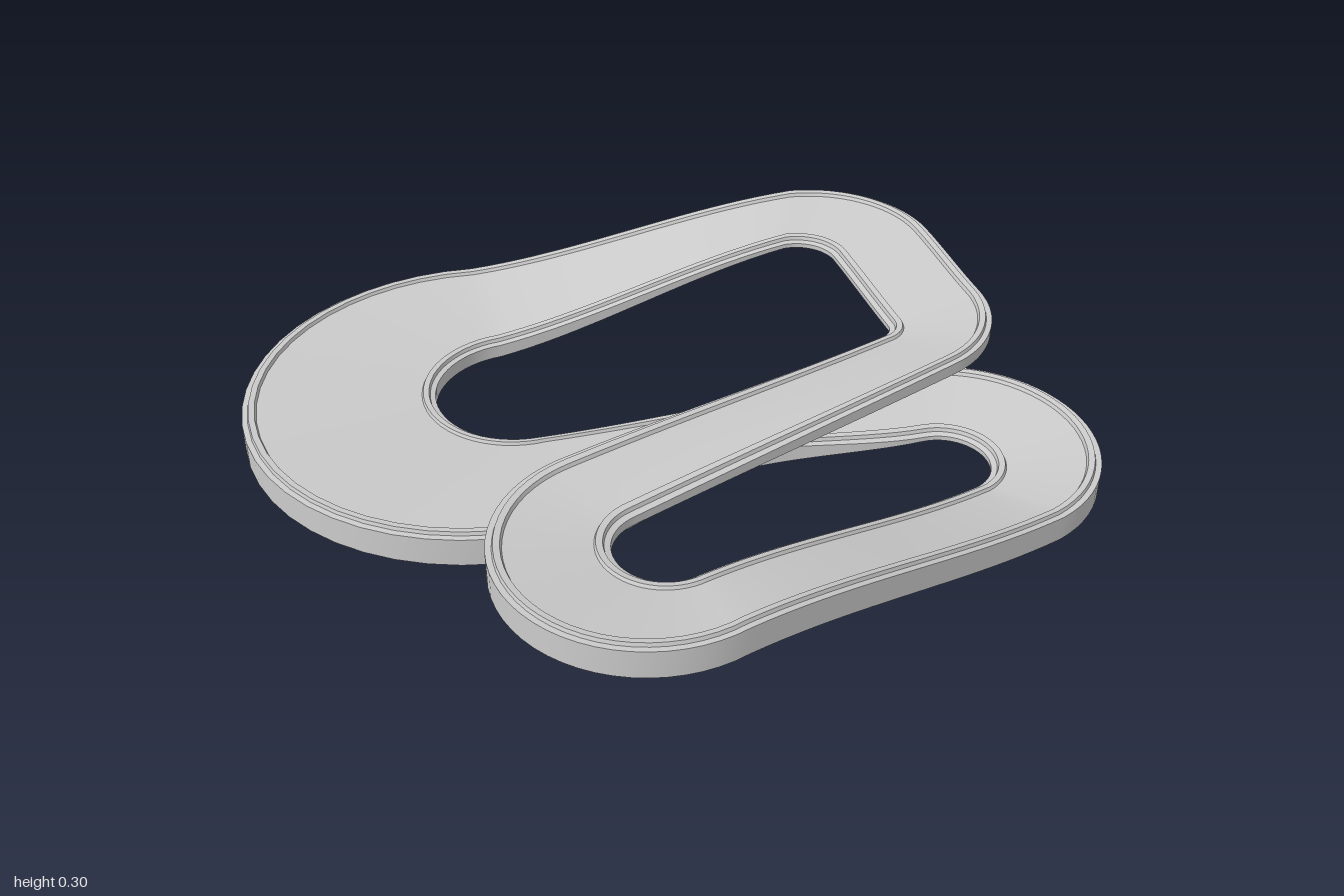
import * as THREE from 'three';
import { toCreasedNormals } from 'three/addons/utils/BufferGeometryUtils.js';

// One bend of a rail: centre x/z, radius, start and end angle (degrees), top and bottom height
const bend = (x, z, r, a0, a1, top, bottom) => ({ x, z, r, a0, a1, top, bottom });

// Left rail: outside of the three clockwise bends, inside of the two return bends
const leftRail = [
  bend(-0.355, 0.355, 0.645, -15, 208, 0.10, 0.0),
  bend(-0.16, -0.655, 0.345, 208, 289, 0.285, 0.23),
  bend(0.185, -0.54, 0.33, 289, 360, 0.285, 0.23),
  bend(0.62, 0.47, 0.125, 180, 0, 0.255, 0.21),
  bend(0.62, -0.42, 0.12, 0, -160, 0.08, 0.045),
];
// Right rail: the opposite edge
const rightRail = [
  bend(-0.325, 0.255, 0.235, 25, 198, 0.07, 0.01),
  bend(-0.17, -0.6, 0.11, 198, 289, 0.245, 0.21),
  bend(0.215, -0.525, 0.05, 289, 360, 0.245, 0.21),
  bend(0.625, 0.525, 0.36, 180, 0, 0.305, 0.21),
  bend(0.62, -0.46, 0.365, 0, -155, 0.12, 0.03),
];

const ARC = 30, LINK = 20;

function arcPoint(b, t) {
  const a = THREE.MathUtils.degToRad(b.a0 + (b.a1 - b.a0) * t);
  const turn = Math.sign(b.a1 - b.a0);
  return {
    x: b.x + b.r * Math.cos(a), z: b.z + b.r * Math.sin(a),
    tx: -turn * Math.sin(a), tz: turn * Math.cos(a),
    top: b.top, bottom: b.bottom,
  };
}

// Samples a closed rail: each bend followed by a smooth link to the next bend
function sampleRail(bends) {
  const points = [];
  bends.forEach((b, i) => {
    for (let k = 0; k < ARC; k++) points.push(arcPoint(b, k / ARC));
    const p = arcPoint(b, 1), q = arcPoint(bends[(i + 1) % bends.length], 0);
    const len = Math.hypot(q.x - p.x, q.z - p.z);
    for (let k = 0; k < LINK; k++) {
      const t = k / LINK, s = t * t * (3 - 2 * t);
      const m0 = t * (1 - t) * (1 - t) * len, m1 = t * t * (t - 1) * len;
      const h = THREE.MathUtils.lerp(t, s, 0.5);
      points.push({
        x: p.x + (q.x - p.x) * s + p.tx * m0 + q.tx * m1,
        z: p.z + (q.z - p.z) * s + p.tz * m0 + q.tz * m1,
        top: p.top + (q.top - p.top) * h,
        bottom: p.bottom + (q.bottom - p.bottom) * h,
      });
    }
  });
  return points;
}

// Stepped rim: inset from the edge and height below the top
const rim = [[0, -0.012], [0.015, -0.01], [0.018, 0], [0.034, 0], [0.038, -0.009], [0.055, -0.009]];

// Cross-section from the left edge over the top to the right edge and back underneath
function section(a, b) {
  const w = Math.hypot(b.x - a.x, b.z - a.z);
  const at = (u, dTop, dBottom) => {
    const top = a.top + (b.top - a.top) * u, bottom = a.bottom + (b.bottom - a.bottom) * u;
    const y = dTop !== null ? top + dTop : bottom + dBottom;
    return [a.x + (b.x - a.x) * u, y, a.z + (b.z - a.z) * u];
  };
  return [
    at(0, null, 0.01),
    ...rim.map(([d, h]) => at(d / w, h)),
    at(0.5, -0.009),
    ...[...rim].reverse().map(([d, h]) => at(1 - d / w, h)),
    at(1, null, 0.01),
    at(1 - 0.03 / w, null, 0),
    at(0.5, null, 0),
    at(0.03 / w, null, 0),
  ];
}

function trackGeometry() {
  const left = sampleRail(leftRail), right = sampleRail(rightRail);
  const rings = left.map((p, i) => section(p, right[i]));
  const n = rings.length, m = rings[0].length;
  const index = [];
  for (let i = 0; i < n; i++) {
    for (let j = 0; j < m; j++) {
      const i2 = (i + 1) % n, j2 = (j + 1) % m;
      const a = i * m + j, b = i * m + j2, c = i2 * m + j, d = i2 * m + j2;
      index.push(a, b, c, b, d, c);
    }
  }
  const geometry = new THREE.BufferGeometry();
  geometry.setAttribute('position', new THREE.Float32BufferAttribute(rings.flat(2), 3));
  geometry.setIndex(index);
  return toCreasedNormals(geometry, 0.5);
}

export function createModel() {
  const group = new THREE.Group();
  group.name = 'trackLoop';
  const track = new THREE.Mesh(trackGeometry(), new THREE.MeshStandardMaterial({ color: 0xcccccc }));
  track.name = 'bankedTrack';
  group.add(track);
  return group;
}
